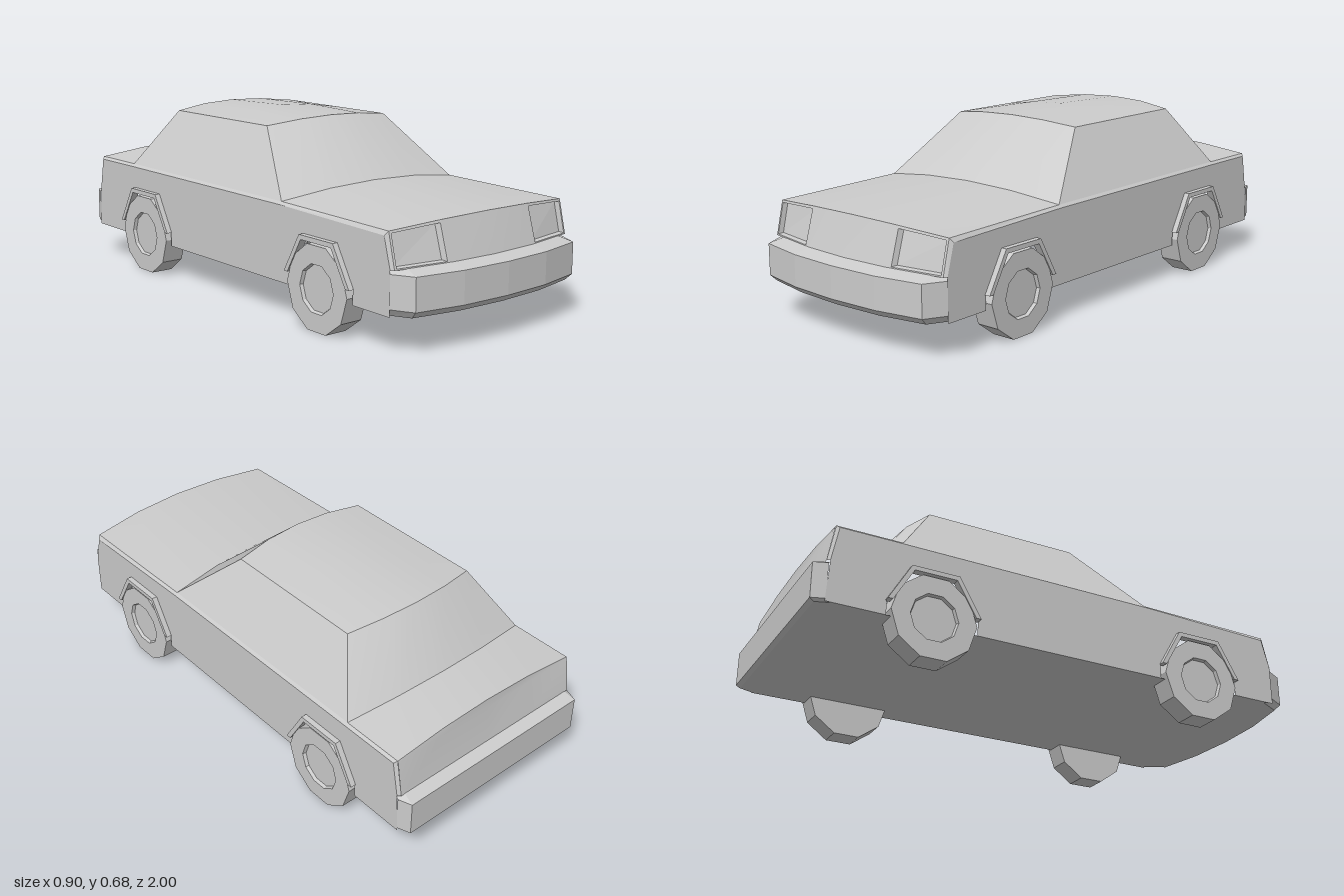
import * as THREE from 'three';
import { toCreasedNormals } from 'three/addons/utils/BufferGeometryUtils.js';

const W = 0.428;      // half width at the doors
const FLOOR = 0.13;
const smooth = new THREE.MeshStandardMaterial({ color: 0xcccccc });
const faceted = new THREE.MeshStandardMaterial({ color: 0xcccccc, flatShading: true });

// Quads between successive rows of points, all rows the same length
function strip(rows) {
  const pos = [];
  for (let i = 0; i + 1 < rows.length; i++) {
    for (let j = 0; j + 1 < rows[i].length; j++) {
      const a = rows[i][j], b = rows[i][j + 1], c = rows[i + 1][j + 1], d = rows[i + 1][j];
      pos.push(...a, ...b, ...c, ...a, ...c, ...d);
    }
  }
  const g = new THREE.BufferGeometry();
  g.setAttribute('position', new THREE.Float32BufferAttribute(pos, 3));
  g.computeVertexNormals();
  return toCreasedNormals(g, 0.35);
}

// Same strip on the left (s = 1) or mirrored to the right (s = -1)
function sideStrip(s, rows) {
  return strip(rows.map((row) => {
    const r = row.map(([x, y, z]) => [x * s, y, z]);
    return s < 0 ? r.reverse() : r;
  }));
}

const shapeOf = (pts) => new THREE.Shape(pts.map(([x, y]) => new THREE.Vector2(x, y)));

// A point on a bowed, crowned row; t runs from -1 (right) to 1 (left)
const onRow = ([z, y, hw, bow, crown], t) => [hw * t, y + crown * (1 - t * t), z + bow * (1 - t * t)];
const columns = [-1, -0.5, 0, 0.5, 1];
const fullRow = (r) => columns.map((t) => onRow(r, t));

// Rows: edge z, edge y, half width, bow in z, crown in y
const R = {
  noseLow: [0.89, 0.285, 0.418, 0.05, 0],
  hoodFront: [0.86, 0.41, 0.418, 0.035, 0.018],
  screenLow: [0.305, 0.42, 0.418, 0.025, 0.033],
  screenTop: [0.055, 0.65, 0.29, 0.025, 0.02],
  roofMid: [-0.22, 0.65, 0.29, 0, 0.03],
  rearTop: [-0.535, 0.65, 0.29, -0.04, 0.02],
  rearLow: [-0.685, 0.425, 0.418, -0.04, 0.03],
  bootEnd: [-0.93, 0.425, 0.418, 0, 0.03],
  bootLip: [-0.932, 0.42, 0.418, 0, 0],
  tailLow: [-0.955, 0.285, 0.418, 0, 0],
};

const AXLES = [0.53, -0.57];

export function createModel() {
  const car = new THREE.Group();
  car.name = 'car';
  const add = (name, geometry, material = smooth) => {
    const m = new THREE.Mesh(geometry, material);
    m.name = name;
    car.add(m);
    return m;
  };
  const panel = (name, ...keys) => add(name, strip(keys.map((k) => fullRow(R[k]))));

  // Panels across the car, front to back
  panel('hood', 'hoodFront', 'screenLow');
  panel('windshield', 'screenLow', 'screenTop');
  panel('roof', 'screenTop', 'roofMid', 'rearTop');
  panel('rearWindow', 'rearTop', 'rearLow');
  panel('trunkLid', 'rearLow', 'bootEnd');
  panel('tailPanel', 'bootEnd', 'bootLip', 'tailLow');
  add('grille', strip([R.noseLow, R.hoodFront].map((r) => [-0.5, 0, 0.5].map((t) => onRow(r, t)))));

  // Bumpers: a plan outline lofted through offset levels [y, x scale, z shift]
  const frontPlan = [[-W, 0.87], [-0.385, 0.955], [-0.2, 0.99], [0, 1], [0.2, 0.99], [0.385, 0.955], [W, 0.87]];
  const rearPlan = [[-W, -0.95], [-0.41, -1], [0.41, -1], [W, -0.95]];
  const loft = (plan, levels) => strip(levels.map(([y, k, dz]) => plan.map(([x, z]) => [x * k, y, z + dz])));
  add('frontBumper', loft(frontPlan, [[FLOOR, 0.98, -0.025], [0.155, 1, 0], [0.272, 1, 0], [0.287, 0.96, -0.06]]), faceted);
  add('rearBumper', loft(rearPlan, [[0.287, 0.98, 0.045], [0.272, 1, 0], [0.14, 1, 0], [FLOOR, 0.99, 0.015]]), faceted);

  // Flat underside
  const plan = [
    ...frontPlan.map(([x, z]) => [x * 0.98, z - 0.025]),
    [W, 0.85], [W, -0.94],
    ...rearPlan.slice().reverse().map(([x, z]) => [x * 0.99, z + 0.015]),
    [-W, -0.94], [-W, 0.85],
  ];
  add('floor', new THREE.ShapeGeometry(shapeOf(plan)).rotateX(Math.PI / 2).translate(0, FLOOR, 0));

  for (const s of [1, -1]) {
    const side = s > 0 ? 'left' : 'right';
    // Shapes drawn as [z, y] and turned to face sideways
    const sideShape = (pts) => shapeOf(pts.map(([z, y]) => [-s * z, y]));

    // Body side with wheel arch notches
    const rim = [[0.88, 0.285], [0.85, 0.395], [0.305, 0.41], [-0.685, 0.415], [-0.92, 0.415], [-0.945, 0.285]];
    const notch = (c) => [[-0.17, FLOOR], [-0.17, 0.19], [-0.088, 0.325], [0.088, 0.325], [0.17, 0.19], [0.17, FLOOR]]
      .map(([z, y]) => [z + c, y]);
    const outline = [...rim, [-0.955, FLOOR], ...notch(AXLES[1]), ...notch(AXLES[0]), [0.88, FLOOR]];
    add(side + 'BodySide', new THREE.ShapeGeometry(sideShape(outline))
      .rotateY(s * Math.PI / 2).translate(s * W, 0, 0));

    // Narrow bevel between body side and the upper panels
    const edge = ['noseLow', 'hoodFront', 'screenLow', 'rearLow', 'bootEnd', 'tailLow'].map((k) => onRow(R[k], 1));
    add(side + 'BeltEdge', sideStrip(s, [rim.map(([z, y]) => [W, y, z]), edge]), faceted);

    // Cabin side
    add(side + 'CabinSide', sideStrip(s, [
      [onRow(R.screenLow, 1), onRow(R.rearLow, 1)],
      [onRow(R.screenTop, 1), onRow(R.rearTop, 1)],
    ]), faceted);

    // Headlight: frame, recess walls and lens
    const at = (u, v, dz = 0) => {
      const a = onRow(R.noseLow, 0.5 + u / 2), b = onRow(R.hoodFront, 0.5 + u / 2);
      return a.map((n, i) => n + (b[i] - n) * v + (i === 2 ? dz : 0));
    };
    const ring = (u0, u1, v0, v1, dz) =>
      [[u0, v0], [u1, v0], [u1, v1], [u0, v1], [u0, v0]].map(([u, v]) => at(u, v, dz));
    const lens = ring(0.06, 0.94, 0.06, 0.9, -0.02);
    add(side + 'HeadlightFrame', sideStrip(s, [ring(0, 1, 0, 1, 0), ring(0.03, 0.96, 0.04, 0.93, 0), lens]), faceted);
    add(side + 'HeadlightLens', sideStrip(s, [[lens[0], lens[1]], [lens[3], lens[2]]]), faceted);

    AXLES.forEach((z, i) => {
      const label = side + (i ? 'Rear' : 'Front');
      // Raised lip round the arch
      const lip = [[-0.174, 0.185], [-0.09, 0.33], [0.09, 0.33], [0.174, 0.185],
        [0.155, 0.185], [0.08, 0.313], [-0.08, 0.313], [-0.155, 0.185]].map(([dz, y]) => [z + dz, y]);
      add(label + 'ArchLip', new THREE.ExtrudeGeometry(sideShape(lip), { depth: 0.029, bevelEnabled: false })
        .rotateY(s * Math.PI / 2).translate(s * 0.42, 0, 0), faceted);

      // Ten-sided wheel with a recessed hub
      const profile = [[0, -0.045], [0.16, -0.045], [0.16, 0.045], [0.09, 0.045], [0.085, 0.033], [0, 0.033]]
        .map(([r, y]) => new THREE.Vector2(r, y));
      add(label + 'Wheel', new THREE.LatheGeometry(profile, 10).rotateZ(-s * Math.PI / 2), faceted)
        .position.set(s * 0.4, 0.1522, z);
    });
  }
  return car;
}
